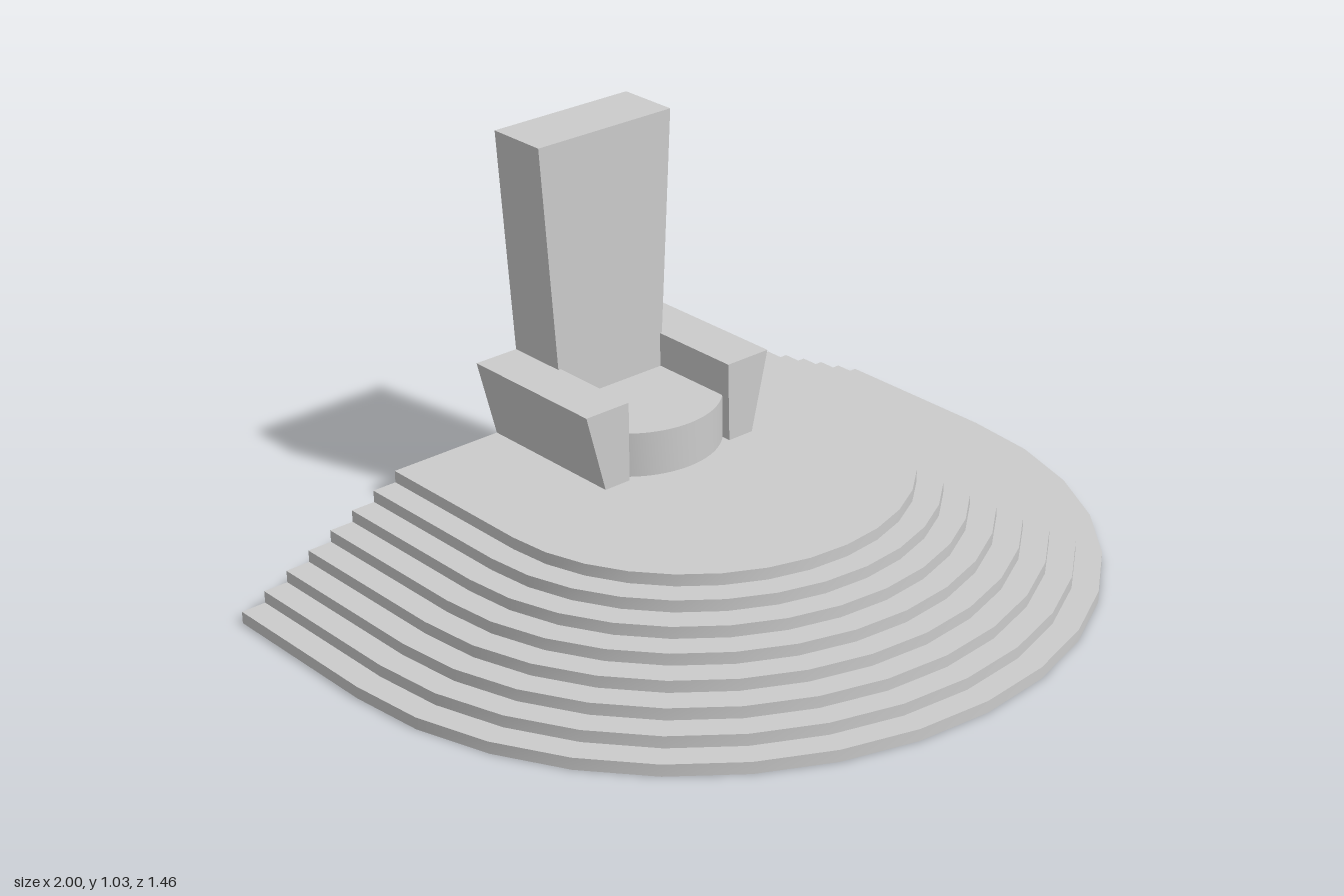
import * as THREE from 'three';
import { toCreasedNormals } from 'three/addons/utils/BufferGeometryUtils.js';

const BACK = -0.73, CENTRE = -0.27;   // flat back edge and centre of the round front
const TIERS = 8, RISE = 0.245 / TIERS, TREAD = 0.065, ARC = 16;
const DECK = TIERS * RISE;

const material = new THREE.MeshStandardMaterial({ color: 0xcccccc, side: THREE.DoubleSide });

// U-shaped outline of radius r, as [x, z] from the +x back corner round to the -x one
function outline(r) {
  const points = [[r, BACK]];
  for (let i = 0; i <= ARC; i++) {
    const a = (i / ARC) * Math.PI;
    points.push([r * Math.cos(a), CENTRE + r * Math.sin(a)]);
  }
  points.push([-r, BACK]);
  return points;
}

// Hollow stepped shell: the stair profile swept along the outline
function stepsGeometry() {
  const rows = [];
  for (let i = 0; i < TIERS; i++) {
    const r = 1 - i * TREAD;
    rows.push([r, i * RISE], [r, (i + 1) * RISE]);
  }
  const positions = [], index = [];
  const n = ARC + 3;
  rows.forEach(([r, y], j) => {
    outline(r).forEach(([x, z]) => positions.push(x, y, z));
    if (j === 0) return;
    for (let i = 0; i < n - 1; i++) {
      const a = (j - 1) * n + i, b = j * n + i;
      index.push(a, b, a + 1, a + 1, b, b + 1);
    }
  });
  const geometry = new THREE.BufferGeometry();
  geometry.setAttribute('position', new THREE.Float32BufferAttribute(positions, 3));
  geometry.setIndex(index);
  return toCreasedNormals(geometry, 0.5);
}

// Prism with an x-y outline, running from z0 to z1
function prism(points, z0, z1) {
  const shape = new THREE.Shape(points.map(([x, y]) => new THREE.Vector2(x, y)));
  const geometry = new THREE.ExtrudeGeometry(shape, { depth: z1 - z0, bevelEnabled: false });
  return geometry.translate(0, 0, z0);
}

export function createModel() {
  const model = new THREE.Group();
  model.name = 'throneOnSteps';
  const add = (name, geometry) => {
    const mesh = new THREE.Mesh(geometry, material);
    mesh.name = name;
    model.add(mesh);
  };

  add('steps', stepsGeometry());

  // Thin deck closing the top step
  const deckShape = new THREE.Shape(
    outline(1 - (TIERS - 1) * TREAD).map(([x, z]) => new THREE.Vector2(x, -z)));
  add('deck', new THREE.ShapeGeometry(deckShape).rotateX(-Math.PI / 2).translate(0, DECK, 0));

  // Seat with a bowed front
  const half = Math.asin(0.16 / 0.23);
  const seatShape = new THREE.Shape();
  seatShape.moveTo(0.16, 0.6);
  seatShape.lineTo(-0.16, 0.6);
  seatShape.absarc(0, 0.5, 0.23, -Math.PI / 2 - half, -Math.PI / 2 + half, false);
  seatShape.closePath();
  const seat = new THREE.ExtrudeGeometry(seatShape, { depth: 0.36 - DECK, bevelEnabled: false, curveSegments: 10 });
  add('seat', toCreasedNormals(seat.rotateX(-Math.PI / 2).translate(0, DECK, 0), 0.5));

  // Backrest flaring towards the top
  add('backrest', prism([[-0.16, DECK], [0.16, DECK], [0.165, 0.45], [0.203, 1.03],
    [-0.203, 1.03], [-0.165, 0.45]], BACK, -0.565));

  // Wedge-shaped arms reaching down through the deck to the ground
  for (const [name, s] of [['leftArm', 1], ['rightArm', -1]]) {
    add(name, prism([[s * 0.163, 0], [s * 0.172, 0], [s * 0.287, 0.45], [s * 0.158, 0.45]], BACK, -0.31));
  }
  return model;
}
